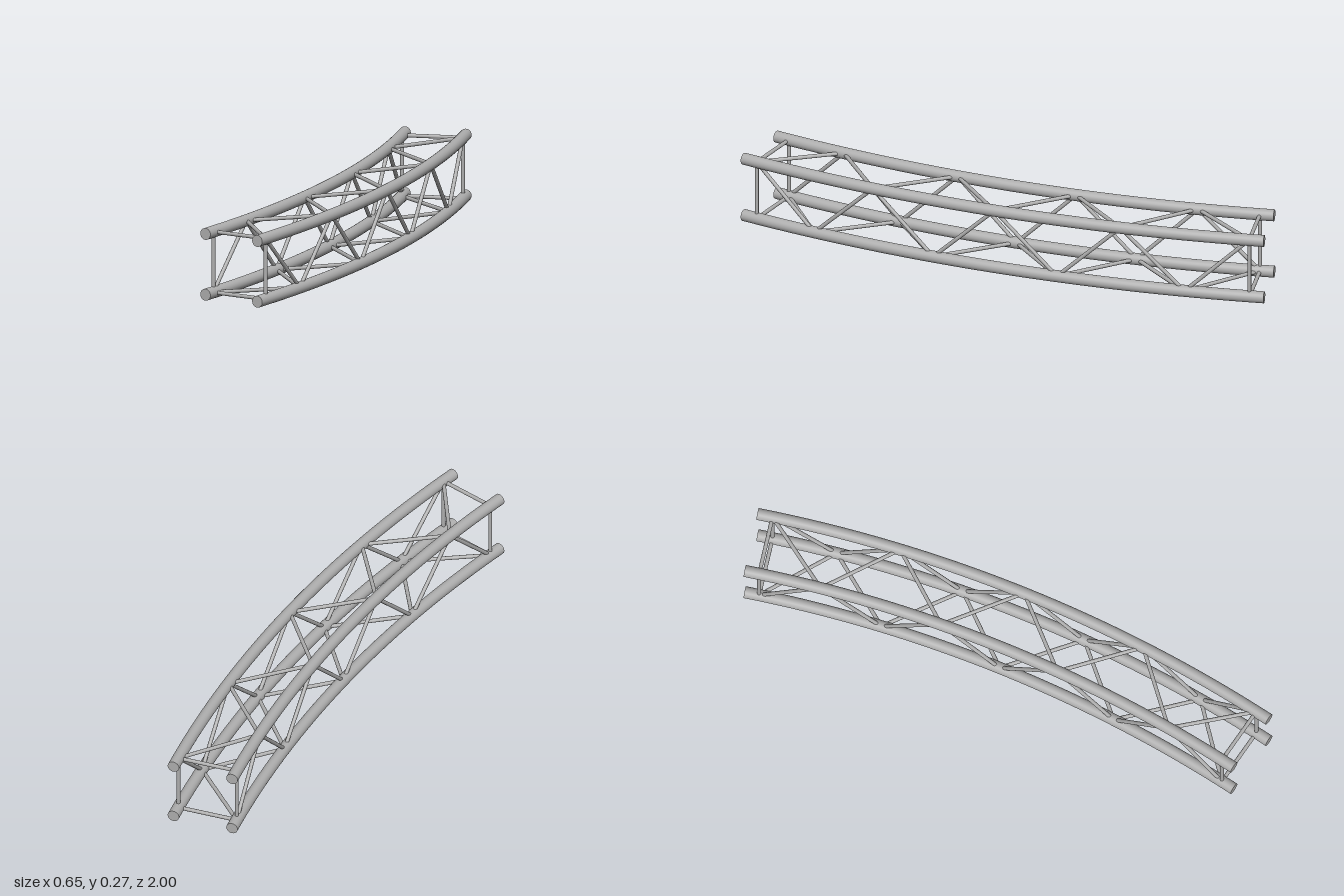
import * as THREE from 'three';

const CENTRE_X = -4.898, FRONT_Z = 1;      // centre of the bend
const R_IN = 4.974, R_OUT = 5.2;           // chord bend radii
const SWEEP = Math.PI / 8;
const Y_LOW = 0.0235, Y_HIGH = 0.25;
const CHORD_R = 0.022, BRACE_R = 0.0073;
const BAYS = 8, END_ANGLE = 0.0107;        // bays and inset of the end frames

const pointAt = (radius, y, a) => new THREE.Vector3(
  CENTRE_X + radius * Math.cos(a), y, FRONT_Z - radius * Math.sin(a));

class BendCurve extends THREE.Curve {
  constructor(radius, y) {
    super();
    this.radius = radius;
    this.y = y;
  }
  getPoint(t, target = new THREE.Vector3()) {
    return target.copy(pointAt(this.radius, this.y, t * SWEEP));
  }
}

export function createModel() {
  const model = new THREE.Group();
  model.name = 'curvedTruss';
  const metal = new THREE.MeshStandardMaterial({ color: 0xaeaeae });
  metal.name = 'aluminium grey';

  const add = (geometry, name, parent) => {
    const mesh = new THREE.Mesh(geometry, metal);
    mesh.name = name;
    parent.add(mesh);
    return mesh;
  };

  // Curved main tube with flat end caps
  const addChord = (radius, y, name) => {
    const chord = new THREE.Group();
    chord.name = name;
    add(new THREE.TubeGeometry(new BendCurve(radius, y), 32, CHORD_R, 24), 'tube', chord);
    for (const [a, turn, capName] of [[0, 0, 'frontCap'], [SWEEP, SWEEP + Math.PI, 'backCap']]) {
      const cap = add(new THREE.CircleGeometry(CHORD_R, 24), capName, chord);
      cap.position.copy(pointAt(radius, y, a));
      cap.rotation.y = turn;
    }
    model.add(chord);
  };

  // Thin straight rod between two points
  const up = new THREE.Vector3(0, 1, 0);
  const addRod = (p, q, name, parent) => {
    const dir = q.clone().sub(p);
    const rod = add(new THREE.CylinderGeometry(BRACE_R, BRACE_R, dir.length(), 12), name, parent);
    rod.position.copy(p).add(q).multiplyScalar(0.5);
    rod.quaternion.setFromUnitVectors(up, dir.normalize());
  };

  const corners = {
    lowerInner: [R_IN, Y_LOW], lowerOuter: [R_OUT, Y_LOW],
    upperOuter: [R_OUT, Y_HIGH], upperInner: [R_IN, Y_HIGH],
  };
  for (const [name, [radius, y]] of Object.entries(corners)) addChord(radius, y, name + 'Chord');

  const node = (corner, i) => pointAt(...corners[corner],
    END_ANGLE + (SWEEP - 2 * END_ANGLE) * i / BAYS);

  // Each face: the chord met at even nodes, then the chord met at odd nodes
  const faces = [
    ['top', 'upperOuter', 'upperInner'],
    ['bottom', 'lowerInner', 'lowerOuter'],
    ['outer', 'upperOuter', 'lowerOuter'],
    ['inner', 'lowerInner', 'upperInner'],
  ];
  for (const [name, even, odd] of faces) {
    const lacing = new THREE.Group();
    lacing.name = name + 'Lacing';
    model.add(lacing);
    for (let i = 0; i < BAYS; i++) {
      const [from, to] = i % 2 ? [odd, even] : [even, odd];
      addRod(node(from, i), node(to, i + 1), 'diagonalBrace', lacing);
    }
    // Square end struts
    for (const i of [0, BAYS]) addRod(node(even, i), node(odd, i), 'endStrut', lacing);
  }
  return model;
}
